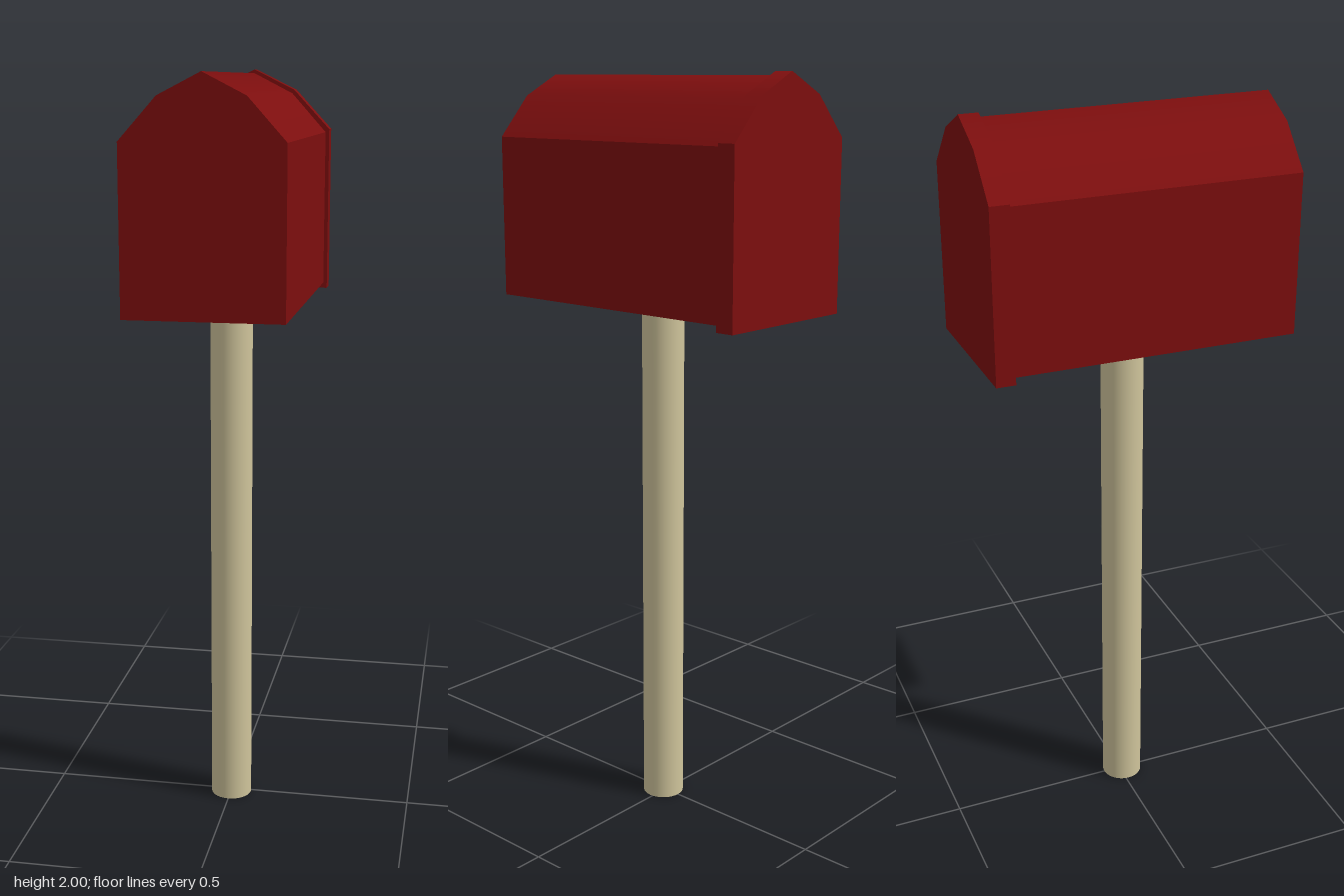
import * as THREE from 'three';

const red = new THREE.MeshStandardMaterial({ color: 0x7d0e0e });
const wood = new THREE.MeshStandardMaterial({ color: 0xcfc49b });

// Extruded box with an arched, smooth-shaded roof.
function archedBox(name, halfWidth, bottom, eave, top, zBack, zFront) {
  const hipX = halfWidth * 0.53;
  const hipY = eave + (top - eave) * 0.66;
  const shape = new THREE.Shape([
    [-halfWidth, bottom], [halfWidth, bottom], [halfWidth, eave],
    [hipX, hipY], [0, top], [-hipX, hipY], [-halfWidth, eave],
  ].map(([x, y]) => new THREE.Vector2(x, y)));
  const geometry = new THREE.ExtrudeGeometry(shape, { depth: zFront - zBack, bevelEnabled: false });
  geometry.translate(0, 0, zBack);

  // Blend normals across the roof while the eaves and ends stay sharp.
  const lower = Math.atan2(hipY - eave, halfWidth - hipX);
  const upper = Math.atan2(top - hipY, hipX);
  const { position, normal } = geometry.attributes;
  for (let i = 0; i < position.count; i++) {
    if (normal.getY(i) < 0.1) continue;
    const x = position.getX(i);
    const ax = Math.abs(x);
    let tilt = lower;
    if (ax < 0.001) tilt = 0;
    else if (ax < hipX + 0.001) tilt = (lower + upper) / 2;
    normal.setXYZ(i, Math.sign(x) * Math.sin(tilt), Math.cos(tilt), 0);
  }

  const mesh = new THREE.Mesh(geometry, red);
  mesh.name = name;
  return mesh;
}

export function createModel() {
  const group = new THREE.Group();
  group.name = 'mailbox';

  // Box and the slightly larger door at its back end
  group.add(archedBox('boxBody', 0.2, 1.415, 1.832, 1.99, -0.35, 0.4));
  group.add(archedBox('door', 0.21, 1.4, 1.84, 2, -0.4, -0.35));

  // Round post
  const post = new THREE.Mesh(new THREE.CylinderGeometry(0.056, 0.056, 1.417, 32), wood);
  post.name = 'post';
  post.position.set(0, 1.417 / 2, 0.008);
  group.add(post);

  return group;
}
